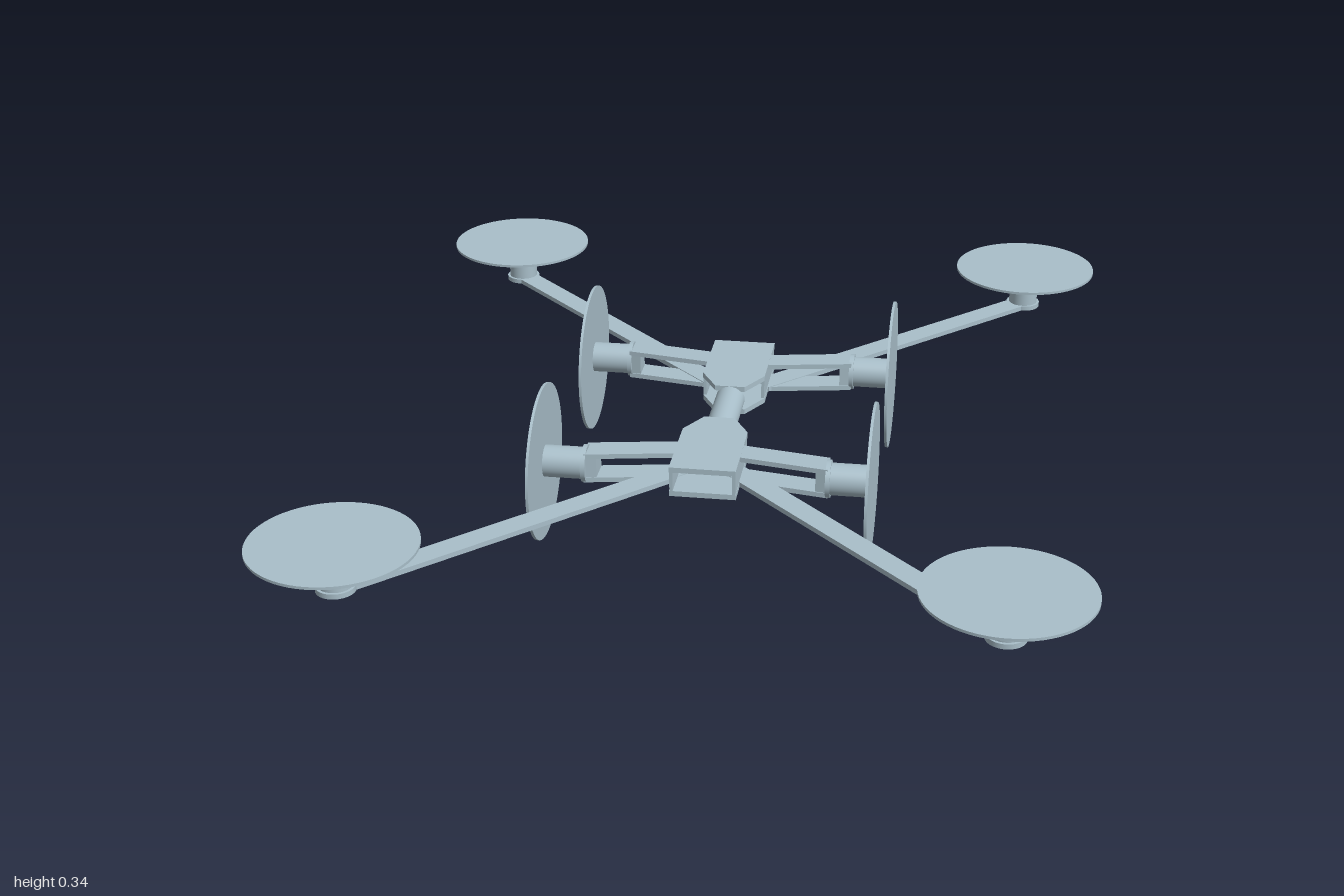
import * as THREE from 'three';

export function createModel() {
  const model = new THREE.Group();
  model.name = 'multirotorDrone';
  const paint = new THREE.MeshStandardMaterial({ color: 0xa9bfca });
  paint.name = 'pale blue grey';

  const add = (name, geometry, parent) => {
    const mesh = new THREE.Mesh(geometry, paint);
    mesh.name = name;
    parent.add(mesh);
    return mesh;
  };

  // Flat plate from [x, z] outline points, between two heights
  const plate = (name, points, y0, y1, parent) => {
    const shape = new THREE.Shape(points.map(([x, z]) => new THREE.Vector2(x, -z)));
    const g = new THREE.ExtrudeGeometry(shape, { depth: y1 - y0, bevelEnabled: false });
    g.rotateX(-Math.PI / 2);
    g.translate(0, y0, 0);
    return add(name, g, parent);
  };

  // Cylinder centred on a point, along 'x', 'y' or 'z'
  const rod = (name, r, length, axis, [x, y, z], parent) => {
    const g = new THREE.CylinderGeometry(r, r, length, 64);
    if (axis === 'x') g.rotateZ(Math.PI / 2);
    if (axis === 'z') g.rotateX(Math.PI / 2);
    g.translate(x, y, z);
    return add(name, g, parent);
  };

  // Tube joining the two frames
  rod('spineTube', 0.033, 0.18, 'z', [0, 0.174, 0], model);

  for (const sz of [1, -1]) {
    const frame = new THREE.Group();
    frame.name = sz > 0 ? 'frontFrame' : 'rearFrame';
    model.add(frame);

    // Tapered top and bottom plates
    const outline = [[-0.072, 0.342], [0.072, 0.342], [0.072, 0.15],
      [0.034, 0.083], [-0.034, 0.083], [-0.072, 0.15]].map(([x, z]) => [x, z * sz]);
    plate('topPlate', outline, 0.196, 0.208, frame);
    plate('bottomPlate', outline, 0.14, 0.152, frame);

    for (const sx of [1, -1]) {
      const side = sx > 0 ? 'left' : 'right';
      const q = (points) => points.map(([x, z]) => [x * sx, z * sz]);

      // Side wall between the plates
      plate(side + 'Wall', q([[0.064, 0.15], [0.071, 0.15], [0.071, 0.341], [0.064, 0.341]]),
        0.152, 0.196, frame);

      // Short open arm with two decks and an end block
      const arm = q([[0.06, 0.212], [0.264, 0.247], [0.264, 0.307], [0.06, 0.271]]);
      plate(side + 'ArmTop', arm, 0.1965, 0.2075, frame);
      plate(side + 'ArmBottom', arm, 0.1405, 0.1515, frame);
      plate(side + 'ArmEndBlock', q([[0.237, 0.245], [0.264, 0.249], [0.264, 0.305], [0.237, 0.3]]),
        0.151, 0.197, frame);

      // Sideways motor and upright rotor disc
      const zs = 0.28 * sz;
      rod(side + 'SideMotorFlange', 0.041, 0.01, 'x', [sx * 0.264, 0.174, zs], frame);
      rod(side + 'SideMotor', 0.035, 0.09, 'x', [sx * 0.31, 0.174, zs], frame);
      rod(side + 'SideRotor', 0.172, 0.006, 'x', [sx * 0.356, 0.172, zs], frame);

      // Long diagonal boom with lifting motor and level rotor disc
      const ex = 0.655, ez = 0.828, w = 0.019;
      plate(side + 'Boom', q([[0.055 - w, 0.228 + w], [0.055 + w, 0.228 - w],
        [ex + w, ez - w], [ex - w, ez + w]]), 0.142, 0.153, frame);
      rod(side + 'LiftMotorFlange', 0.041, 0.011, 'y', [sx * ex, 0.1475, sz * ez], frame);
      rod(side + 'LiftMotor', 0.035, 0.09, 'y', [sx * ex, 0.196, sz * ez], frame);
      rod(side + 'LiftRotor', 0.172, 0.006, 'y', [sx * ex, 0.242, sz * ez], frame);
    }
  }
  return model;
}
